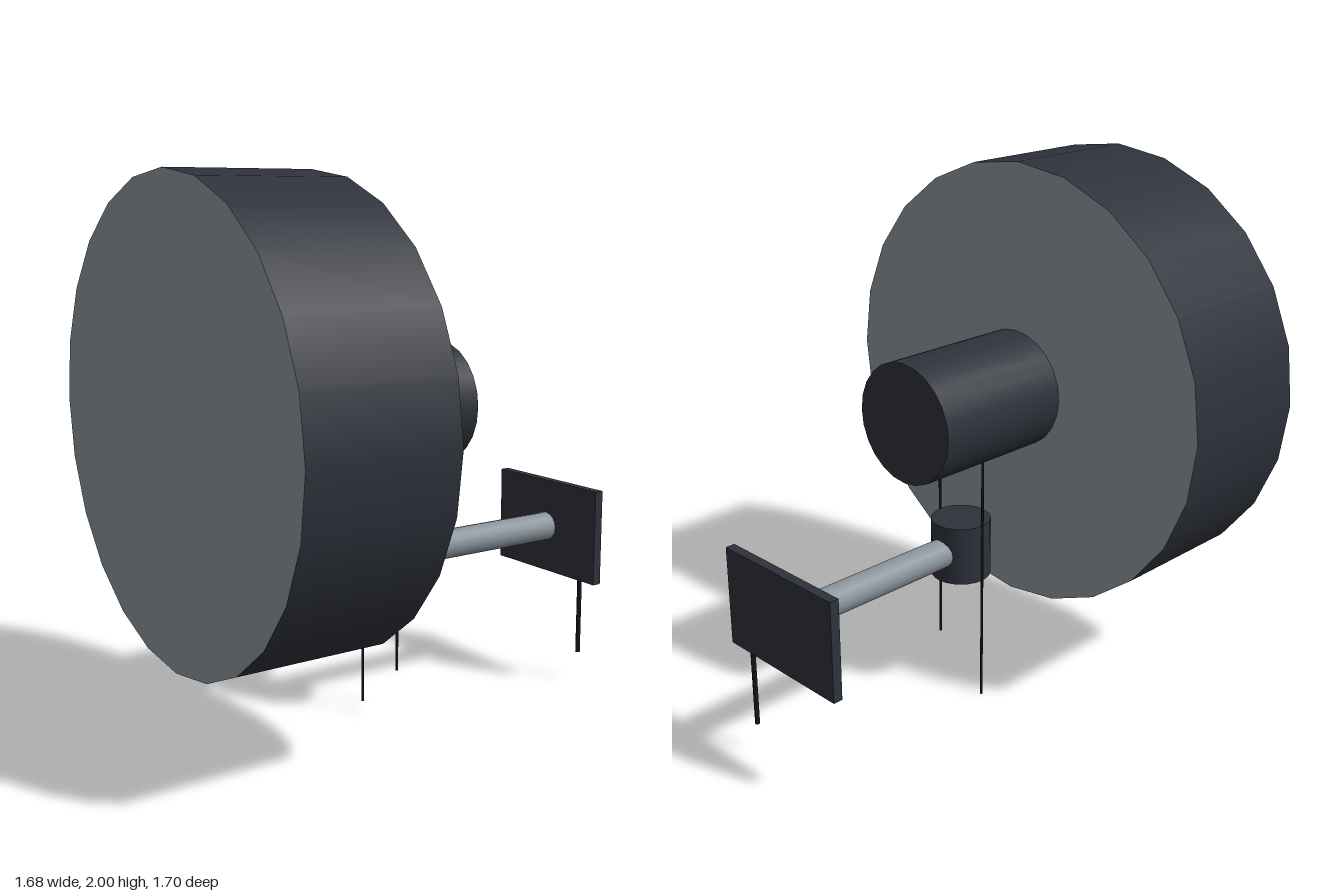
import * as THREE from 'three';

const dark = new THREE.MeshStandardMaterial({ color: 0x2e323b });
const light = new THREE.MeshStandardMaterial({ color: 0x8a949c });
const black = new THREE.MeshStandardMaterial({ color: 0x14161a });

function add(group, name, geometry, material, x, y, z) {
  const mesh = new THREE.Mesh(geometry, material);
  mesh.name = name;
  mesh.position.set(x, y, z);
  group.add(mesh);
}

// Cylinder lying along z, from z0 to z1
function axle(group, name, radius, y, z0, z1, sides, material) {
  const geometry = new THREE.CylinderGeometry(radius, radius, z1 - z0, sides).rotateX(Math.PI / 2);
  add(group, name, geometry, material, 0, y, (z0 + z1) / 2);
}

// Upright cylinder from y0 to y1
function post(group, name, radius, x, y0, y1, z, sides, material) {
  const geometry = new THREE.CylinderGeometry(radius, radius, y1 - y0, sides);
  add(group, name, geometry, material, x, (y0 + y1) / 2, z);
}

export function createModel() {
  const model = new THREE.Group();
  model.name = 'model';

  // Big drum with dark rim and light faces, and the hub behind it
  axle(model, 'drum', 0.84, 1.16, 0.29, 0.85, 24, [dark, light, light]);
  axle(model, 'hub', 0.223, 1.16, -0.27, 0.29, 24, dark);

  // Small pulley below the hub, with the rod running back to the plate
  post(model, 'pulley', 0.112, 0, 0.49, 0.715, 0.01, 24, dark);
  axle(model, 'rod', 0.056, 0.6, -0.82, 0.01, 16, light);
  add(model, 'plate', new THREE.BoxGeometry(0.56, 0.373, 0.036), dark, 0, 0.602, -0.832);
  post(model, 'plateStem', 0.009, 0.185, 0.115, 0.43, -0.832, 8, black);

  // Two cords hanging from the hub, past the pulley
  post(model, 'longCord', 0.005, -0.112, 0, 1.0, 0.01, 8, black);
  post(model, 'shortCord', 0.005, 0.112, 0.19, 1.0, 0.01, 8, black);

  return model;
}
